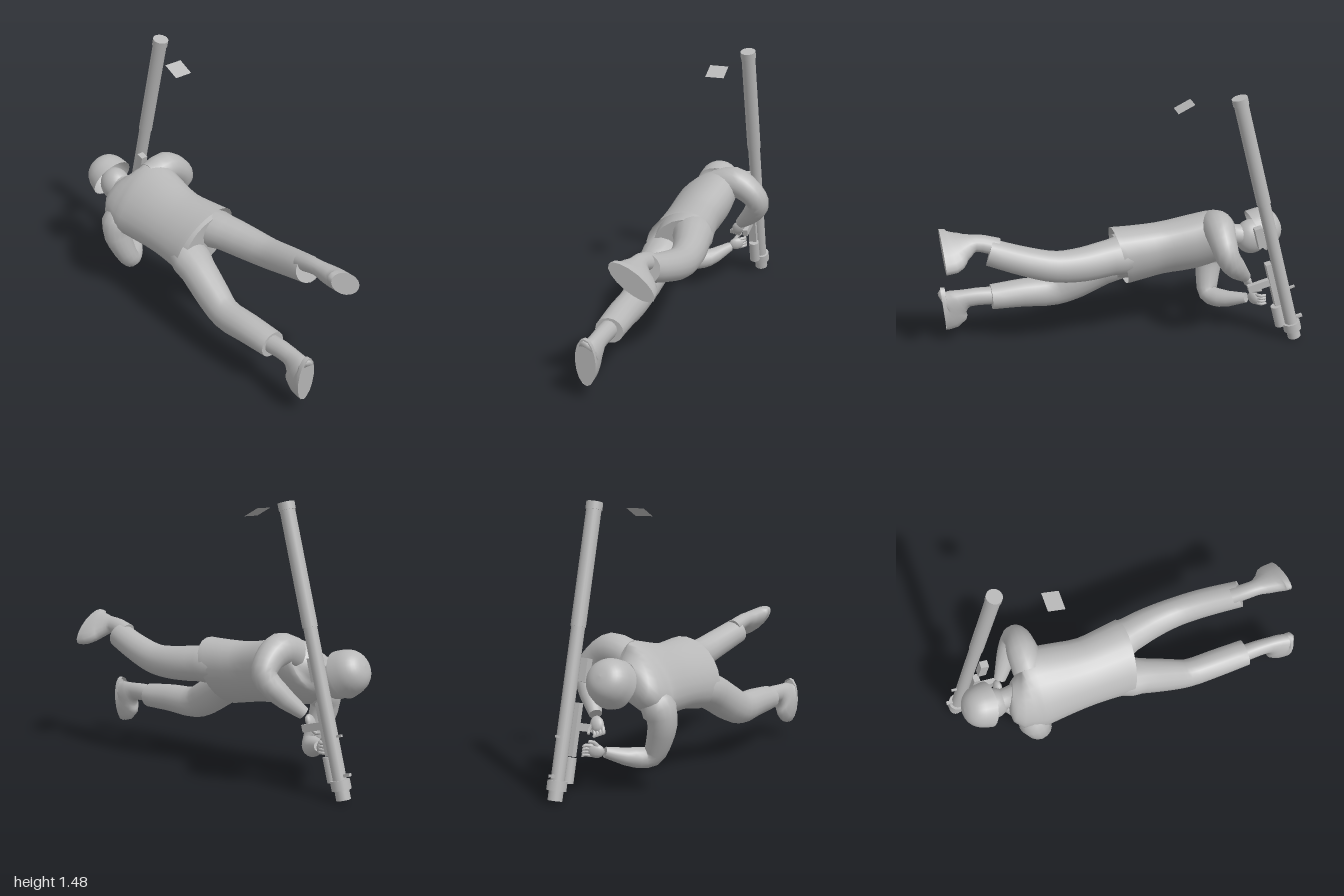
import * as THREE from 'three';

const grey = new THREE.MeshStandardMaterial({ color: 0xb8b8b8, side: THREE.DoubleSide });
grey.name = 'plain grey';
const V = (x, y, z) => new THREE.Vector3(x, y, z);

function part(parent, name, geometry, position = [0, 0, 0]) {
  const mesh = new THREE.Mesh(geometry, grey);
  mesh.name = name;
  mesh.position.set(...position);
  parent.add(mesh);
  return mesh;
}

// Smooth body through elliptical sections [x, y, z, halfWidth, halfDepth];
// ref is the width direction, roll turns it about the path
function loft(sections, { ref = V(1, 0, 0), roll = 0, sides = 16, steps = 3, openEnd = false } = {}) {
  const centre = new THREE.CatmullRomCurve3(sections.map(s => V(s[0], s[1], s[2])));
  const radii = new THREE.CatmullRomCurve3(sections.map(s => V(s[3], s[4] ?? s[3], 0)));
  const n = (sections.length - 1) * steps, pos = [], idx = [];
  for (let i = 0; i <= n; i++) {
    const c = centre.getPoint(i / n), t = centre.getTangent(i / n), r = radii.getPoint(i / n);
    const u = ref.clone().addScaledVector(t, -t.dot(ref)).normalize().applyAxisAngle(t, roll);
    const v = t.clone().cross(u);
    for (let j = 0; j < sides; j++) {
      const a = j / sides * Math.PI * 2;
      const p = c.clone().addScaledVector(u, r.x * Math.cos(a)).addScaledVector(v, r.y * Math.sin(a));
      pos.push(p.x, p.y, p.z);
    }
  }
  for (let i = 0; i < n; i++) for (let j = 0; j < sides; j++) {
    const k = (j + 1) % sides, a = i * sides + j, b = i * sides + k, c = b + sides, d = a + sides;
    idx.push(a, b, c, a, c, d);
  }
  // End caps with their own corners, so the rims stay sharp
  for (const [row, flip] of openEnd ? [[0, true]] : [[0, true], [n, false]]) {
    const base = pos.length / 3;
    for (let j = 0; j < sides * 3; j++) pos.push(pos[row * sides * 3 + j]);
    for (let j = 1; j < sides - 1; j++) {
      idx.push(base, base + (flip ? j + 1 : j), base + (flip ? j : j + 1));
    }
  }
  const g = new THREE.BufferGeometry();
  g.setAttribute('position', new THREE.Float32BufferAttribute(pos, 3));
  g.setIndex(idx);
  g.computeVertexNormals();
  return g;
}

// Palm with four curled fingers and a thumb; dir is the way the fingers reach
function hand(parent, name, at, dir) {
  const g = new THREE.Group();
  g.name = name;
  g.position.set(...at);
  g.quaternion.setFromUnitVectors(V(1, 0, 0), V(...dir).normalize());
  parent.add(g);
  part(g, 'palm', new THREE.SphereGeometry(1, 12, 8)).scale.set(0.045, 0.036, 0.022);
  for (let i = 0; i < 4; i++) {
    const y = -0.024 + i * 0.016;
    part(g, 'finger', loft([[0.02, y, 0, 0.011], [0.055, y, -0.008, 0.01], [0.062, y, -0.035, 0.007]],
      { ref: V(0, 1, 0), sides: 6, steps: 2 }));
  }
  part(g, 'thumb', loft([[-0.01, 0.02, 0, 0.013], [0.015, 0.045, -0.01, 0.011], [0.04, 0.05, -0.025, 0.007]],
    { ref: V(0, 0, 1), sides: 6, steps: 2 }));
}

function makeFigure() {
  const f = new THREE.Group();
  f.name = 'figure';

  // Jacket, rolled about the spine, with a slanted open hem
  const jacket = loft([
    [-0.07, 0.61, -0.635, 0.07, 0.06], [-0.085, 0.595, -0.585, 0.2, 0.11], [-0.075, 0.58, -0.5, 0.235, 0.138],
    [-0.07, 0.56, -0.38, 0.22, 0.145], [-0.07, 0.54, -0.2, 0.2, 0.14], [-0.06, 0.53, -0.06, 0.21, 0.148],
    [-0.055, 0.525, 0.03, 0.22, 0.155]], { roll: 0.74, sides: 24, openEnd: true });
  const p = jacket.attributes.position;
  for (let i = 0; i < p.count; i++) {
    const k = THREE.MathUtils.clamp((p.getZ(i) + 0.25) / 0.25, 0, 1);
    p.setZ(i, p.getZ(i) + 0.2 * k * (p.getY(i) - 0.53));
  }
  jacket.computeVertexNormals();
  part(f, 'jacket', jacket);
  part(f, 'hips', loft([[-0.06, 0.53, -0.2, 0.17, 0.12], [-0.06, 0.53, -0.06, 0.19, 0.13],
    [-0.06, 0.52, 0.05, 0.17, 0.115]], { roll: 0.74 }));

  // Trousers
  part(f, 'rightTrouserLeg', loft([
    [-0.13, 0.48, -0.08, 0.1], [-0.16, 0.41, 0.1, 0.1], [-0.18, 0.33, 0.25, 0.09, 0.1],
    [-0.195, 0.28, 0.37, 0.08, 0.09], [-0.195, 0.28, 0.55, 0.08, 0.08], [-0.19, 0.275, 0.73, 0.077, 0.07]]));
  part(f, 'leftTrouserLeg', loft([
    [0, 0.57, -0.08, 0.1], [0.045, 0.565, 0.1, 0.1], [0.075, 0.555, 0.25, 0.09, 0.095],
    [0.085, 0.56, 0.4, 0.082, 0.086], [0.07, 0.595, 0.55, 0.08, 0.08], [0.03, 0.655, 0.75, 0.075, 0.073]]));

  // Boots with flat soles facing backwards
  part(f, 'rightBoot', loft([
    [-0.195, 0.28, 0.68, 0.05], [-0.195, 0.28, 0.86, 0.044, 0.052], [-0.2, 0.255, 0.92, 0.05, 0.085],
    [-0.21, 0.22, 0.965, 0.055, 0.13], [-0.21, 0.217, 1, 0.055, 0.135]]));
  part(f, 'leftBoot', loft([
    [0.025, 0.68, 0.7, 0.05, 0.045], [0.015, 0.71, 0.82, 0.048, 0.042], [0.025, 0.7, 0.89, 0.085, 0.05],
    [0.04, 0.688, 0.955, 0.135, 0.055], [0.042, 0.686, 1, 0.14, 0.055]], { roll: -0.66 }));

  // Arms
  const armRef = { ref: V(0, 0, 1) };
  part(f, 'leftArm', loft([[0, 0.68, -0.5, 0.09], [0.1, 0.71, -0.5, 0.088], [0.19, 0.665, -0.5, 0.075],
    [0.24, 0.595, -0.515, 0.066], [0.2, 0.51, -0.57, 0.06], [0.1, 0.4, -0.66, 0.034]], armRef));
  part(f, 'rightArm', loft([[-0.18, 0.49, -0.56, 0.08], [-0.225, 0.4, -0.55, 0.08], [-0.2, 0.28, -0.53, 0.068],
    [-0.15, 0.185, -0.525, 0.056], [-0.08, 0.18, -0.58, 0.052], [0.02, 0.22, -0.7, 0.028]], armRef));
  hand(f, 'leftHand', [0.075, 0.355, -0.685], [-0.3, -0.6, -0.15]);
  hand(f, 'rightHand', [0.05, 0.23, -0.735], [0.8, 0.1, -0.4]);

  // Head, neck and helmet
  part(f, 'neck', loft([[-0.075, 0.6, -0.58, 0.065], [-0.075, 0.58, -0.65, 0.058], [-0.075, 0.57, -0.73, 0.06]]));
  part(f, 'head', new THREE.SphereGeometry(1, 20, 14), [-0.075, 0.56, -0.745]).scale.set(0.083, 0.1, 0.095);
  const profile = [[0.128, -0.015], [0.122, 0.02], [0.112, 0.06], [0.088, 0.098], [0.05, 0.122], [0, 0.13]];
  const helmet = part(f, 'helmet', new THREE.LatheGeometry(
    new THREE.SplineCurve(profile.map(q => new THREE.Vector2(...q))).getPoints(14), 24), [-0.08, 0.595, -0.785]);
  helmet.quaternion.setFromUnitVectors(V(0, 1, 0), V(-0.05, 0.42, -0.9).normalize());
  return f;
}

function makeLauncher() {
  const g = new THREE.Group();
  g.name = 'launcher';
  const tube = (name, r, y0, y1) =>
    part(g, name, new THREE.CylinderGeometry(r, r, y1 - y0, 20), [0, (y0 + y1) / 2, 0]);
  const box = (name, size, at) => part(g, name, new THREE.BoxGeometry(...size), at);
  tube('lowerRim', 0.037, 0, 0.06);
  tube('collar', 0.05, 0.05, 0.1);
  tube('lowerTube', 0.035, 0.08, 0.88);
  tube('upperTube', 0.039, 0.87, 1.47);
  tube('upperRim', 0.043, 1.465, 1.504);
  // Grip, housing and sights
  part(g, 'battery', new THREE.CylinderGeometry(0.03, 0.03, 0.13, 14), [-0.02, 0.155, 0.06]);
  box('gripHousing', [0.045, 0.27, 0.035], [-0.025, 0.36, 0.048]);
  box('handle', [0.03, 0.04, 0.13], [-0.03, 0.376, 0.125]);
  box('shoulderRest', [0.04, 0.12, 0.045], [-0.04, 0.66, 0.055]);
  box('rearSight', [0.012, 0.012, 0.04], [0, 0.316, -0.045]);
  box('frontSight', [0.02, 0.015, 0.04], [0, 0.12, -0.05]);
  g.position.set(0.15, 0.012, -0.955);
  g.rotation.x = 0.256;
  return g;
}

export function createModel() {
  const model = new THREE.Group();
  model.name = 'model';
  model.add(makeFigure(), makeLauncher());
  // Small loose panel above the figure
  const panel = part(model, 'floatingPanel', new THREE.PlaneGeometry(0.105, 0.1), [0.052, 1.407, -0.305]);
  panel.rotation.x = -1.107;
  return model;
}
